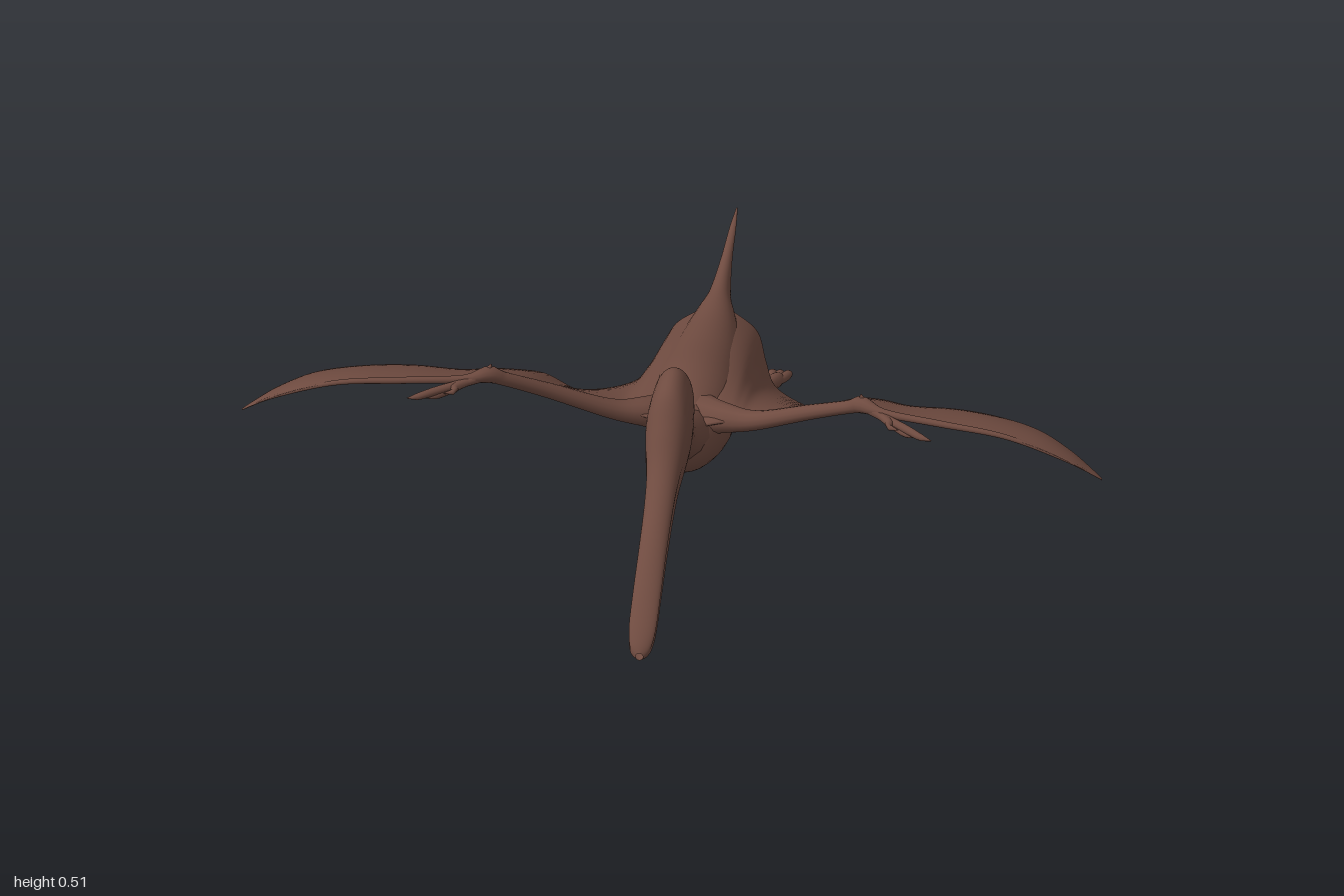
import * as THREE from 'three';

// Catmull-Rom blend of a table of rows, t in 0..1
function sample(rows, t) {
  const f = t * (rows.length - 1), i = Math.min(Math.floor(f), rows.length - 2), k = f - i;
  const r = (n) => rows[Math.max(0, Math.min(rows.length - 1, n))];
  return rows[0].map((_, c) => {
    const [a, b, d, e] = [r(i - 1)[c], r(i)[c], r(i + 1)[c], r(i + 2)[c]];
    return b + 0.5 * k * (d - a + k * (2 * a - 5 * b + 4 * d - e + k * (3 * (b - d) + e - a)));
  });
}

// Smooth skin over closed rings of equal length
function skin(rings) {
  const n = rings[0].length, index = [];
  for (let i = 0; i < rings.length - 1; i++) {
    for (let j = 0; j < n; j++) {
      const a = i * n + j, b = i * n + (j + 1) % n;
      index.push(a, b, a + n, b, b + n, a + n);
    }
  }
  const g = new THREE.BufferGeometry();
  g.setAttribute('position', new THREE.Float32BufferAttribute(rings.flat(2), 3));
  g.setIndex(index);
  g.computeVertexNormals();
  return g;
}

// Oval sections along z: rows of [z, top, bottom, halfWidth, sideGroove]
function loft(rows, steps, sides = 32) {
  const rings = [];
  for (let i = 0; i <= steps; i++) {
    const [z, top, bottom, w, groove] = sample(rows, i / steps);
    rings.push(Array.from({ length: sides }, (_, j) => {
      const a = (j / sides) * Math.PI * 2, s = Math.sin(a);
      const pinch = 1 - groove * Math.pow(1 - Math.abs(s), 3);
      return [w * Math.cos(a) * pinch, (top + bottom) / 2 + s * (top - bottom) / 2, z];
    }));
  }
  return skin(rings);
}

// Tube with a changing radius: rows of [x, y, z, radius]
function limb(rows, steps = 28, flat = 1) {
  const curve = new THREE.CatmullRomCurve3(rows.map((r) => new THREE.Vector3(r[0], r[1], r[2])), false, 'catmullrom', 0.5);
  const sides = 12, g = new THREE.TubeGeometry(curve, steps, 1, sides), p = g.attributes.position;
  const v = new THREE.Vector3();
  for (let i = 0; i <= steps; i++) {
    const c = curve.getPointAt(i / steps);
    const radius = Math.max(0.001, sample(rows, curve.getUtoTmapping(i / steps))[3]);
    for (let j = 0; j <= sides; j++) {
      const k = i * (sides + 1) + j;
      v.fromBufferAttribute(p, k).sub(c).multiplyScalar(radius);
      v.y *= flat;
      v.add(c);
      p.setXYZ(k, v.x, v.y, v.z);
    }
  }
  return g;
}

// Copy on the other side of x = 0 with the winding put right
function mirrored(geometry) {
  const g = geometry.clone().scale(-1, 1, 1), ix = g.index;
  for (let i = 0; i < ix.count; i += 3) {
    const b = ix.getX(i + 1);
    ix.setX(i + 1, ix.getX(i + 2));
    ix.setX(i + 2, b);
  }
  return g;
}

// Membrane: rows of [x, leadZ, leadY, trailZ, trailY, thickness, camber]
function wingSurface(rows) {
  const rings = [], steps = 84, half = 20;
  for (let i = 0; i <= steps; i++) {
    const [x, lz, ly, tz, ty, thick, camber] = sample(rows, i / steps);
    const point = (u, side) => [
      x,
      ty + (ly - ty) * u + camber * Math.sin(Math.PI * u)
        + side * (0.002 * Math.sin(Math.PI * u) + thick * u ** 3 * Math.sqrt(1 - u) * 2),
      tz + (lz - tz) * u,
    ];
    const ring = [];
    for (let j = 0; j < half; j++) ring.push(point((1 - Math.cos(Math.PI * j / half)) / 2, 1));
    for (let j = half; j > 0; j--) ring.push(point((1 - Math.cos(Math.PI * j / half)) / 2, -1));
    rings.push(ring);
  }
  return skin(rings);
}

export function createModel() {
  const model = new THREE.Group();
  model.name = 'flyingReptile';
  const hide = new THREE.MeshStandardMaterial({ color: 0x6f4b40, side: THREE.DoubleSide });
  hide.name = 'brown hide';

  const add = (name, geometry) => {
    const mesh = new THREE.Mesh(geometry, hide);
    mesh.name = name;
    model.add(mesh);
  };
  const addPair = (name, geometry) => {
    add('left' + name, geometry);
    add('right' + name, mirrored(geometry));
  };

  // Torso running back into the tail
  add('bodyAndTail', loft([
    [-0.77, 0.317, 0.313, 0.002, 0], [-0.7, 0.308, 0.297, 0.008, 0],
    [-0.6, 0.295, 0.262, 0.014, 0], [-0.5, 0.285, 0.213, 0.026, 0],
    [-0.44, 0.284, 0.18, 0.045, 0], [-0.36, 0.288, 0.132, 0.07, 0],
    [-0.25, 0.306, 0.113, 0.09, 0], [-0.1, 0.334, 0.114, 0.105, 0],
    [0, 0.331, 0.12, 0.1, 0], [0.08, 0.302, 0.146, 0.075, 0],
    [0.14, 0.285, 0.185, 0.05, 0], [0.17, 0.26, 0.22, 0.01, 0],
  ], 66));

  // Neck
  add('neck', limb([
    [0, 0.225, 0, 0.07], [0, 0.245, 0.07, 0.068], [0, 0.285, 0.15, 0.053],
    [0, 0.335, 0.215, 0.048], [0, 0.39, 0.255, 0.045], [0, 0.43, 0.27, 0.03],
  ]));

  // Domed head and long downturned beak with a jaw groove
  add('headAndBeak', loft([
    [0.172, 0.455, 0.435, 0.004, 0], [0.18, 0.485, 0.405, 0.026, 0],
    [0.205, 0.515, 0.365, 0.042, 0], [0.24, 0.525, 0.315, 0.05, 0],
    [0.3, 0.505, 0.288, 0.054, 0], [0.35, 0.445, 0.278, 0.049, 0.05],
    [0.4, 0.38, 0.265, 0.042, 0.15], [0.46, 0.328, 0.24, 0.039, 0.25],
    [0.55, 0.268, 0.196, 0.038, 0.3], [0.65, 0.198, 0.144, 0.038, 0.3],
    [0.72, 0.146, 0.1, 0.036, 0.25], [0.755, 0.115, 0.077, 0.026, 0.15],
    [0.77, 0.095, 0.076, 0.009, 0],
  ], 72));

  // Wing membranes
  addPair('Wing', wingSurface([
    [0, 0.1, 0.27, -0.47, 0.25, 0.02, 0.03], [0.06, 0.09, 0.285, -0.455, 0.225, 0.025, 0.03],
    [0.1, 0.08, 0.29, -0.44, 0.195, 0.022, 0.026], [0.125, 0.077, 0.292, -0.39, 0.15, 0.02, 0.024],
    [0.155, 0.078, 0.298, -0.35, 0.11, 0.018, 0.02], [0.235, 0.103, 0.333, -0.336, 0.073, 0.014, 0.014],
    [0.3, 0.136, 0.37, -0.305, 0.09, 0.012, 0.01], [0.37, 0.175, 0.412, -0.23, 0.18, 0.012, 0.01],
    [0.44, 0.208, 0.442, -0.145, 0.237, 0.011, 0.012], [0.52, 0.237, 0.447, -0.06, 0.282, 0.008, 0.014],
    [0.63, 0.255, 0.449, 0.016, 0.337, 0.006, 0.014], [0.74, 0.268, 0.445, 0.09, 0.374, 0.005, 0.012],
    [0.84, 0.274, 0.424, 0.155, 0.39, 0.004, 0.008], [0.92, 0.274, 0.391, 0.206, 0.376, 0.003, 0.004],
    [0.975, 0.265, 0.354, 0.237, 0.35, 0.002, 0.001], [1, 0.256, 0.334, 0.25, 0.334, 0.001, 0],
  ]));

  // Arm bone and the long finger that stiffens the leading edge
  addPair('Arm', limb([
    [0.03, 0.27, 0.02, 0.05], [0.09, 0.28, 0.045, 0.036], [0.17, 0.298, 0.072, 0.023],
    [0.3, 0.367, 0.124, 0.018], [0.4, 0.428, 0.18, 0.016], [0.435, 0.45, 0.2, 0.02],
    [0.49, 0.446, 0.222, 0.01], [0.63, 0.448, 0.251, 0.008], [0.78, 0.437, 0.266, 0.006],
    [0.92, 0.389, 0.27, 0.004], [0.998, 0.335, 0.255, 0.001],
  ], 64));

  // Small clawed fingers at the wrist
  [[0.61, 0.433, 0.3], [0.575, 0.425, 0.28], [0.53, 0.436, 0.272]].forEach(([x, y, z], i) => {
    addPair('Finger' + (i + 1), limb([
      [0.43, 0.45, 0.2, 0.012], [0.48, 0.442, 0.226, 0.01],
      [(x + 0.48) / 2, y + 0.006, (z + 0.236) / 2, 0.01],
      [x - 0.025, y + 0.003, z - 0.006, 0.008], [x, y, z, 0.001],
    ], 18));
  });
  addPair('WristSpur', limb([
    [0.44, 0.445, 0.2, 0.014], [0.435, 0.46, 0.197, 0.01], [0.43, 0.472, 0.19, 0.002],
  ], 10));

  // Legs stretched backward
  addPair('Leg', limb([
    [0.05, 0.2, -0.16, 0.04], [0.09, 0.17, -0.23, 0.048], [0.112, 0.125, -0.305, 0.038],
    [0.114, 0.085, -0.355, 0.029], [0.114, 0.065, -0.4, 0.02],
    [0.122, 0.047, -0.45, 0.016], [0.132, 0.032, -0.5, 0.017], [0.134, 0.022, -0.535, 0.008],
  ], 36));

  // Toes
  [-1, 0, 1].forEach((k) => {
    addPair('Toe' + (k + 2), limb([
      [0.128, 0.038, -0.475, 0.01], [0.132 + k * 0.011, 0.028, -0.51, 0.012],
      [0.134 + k * 0.018, 0.02, -0.545, 0.011], [0.135 + k * 0.018, 0.012, -0.563, 0.002],
    ], 14, 0.8));
  });

  return model;
}
